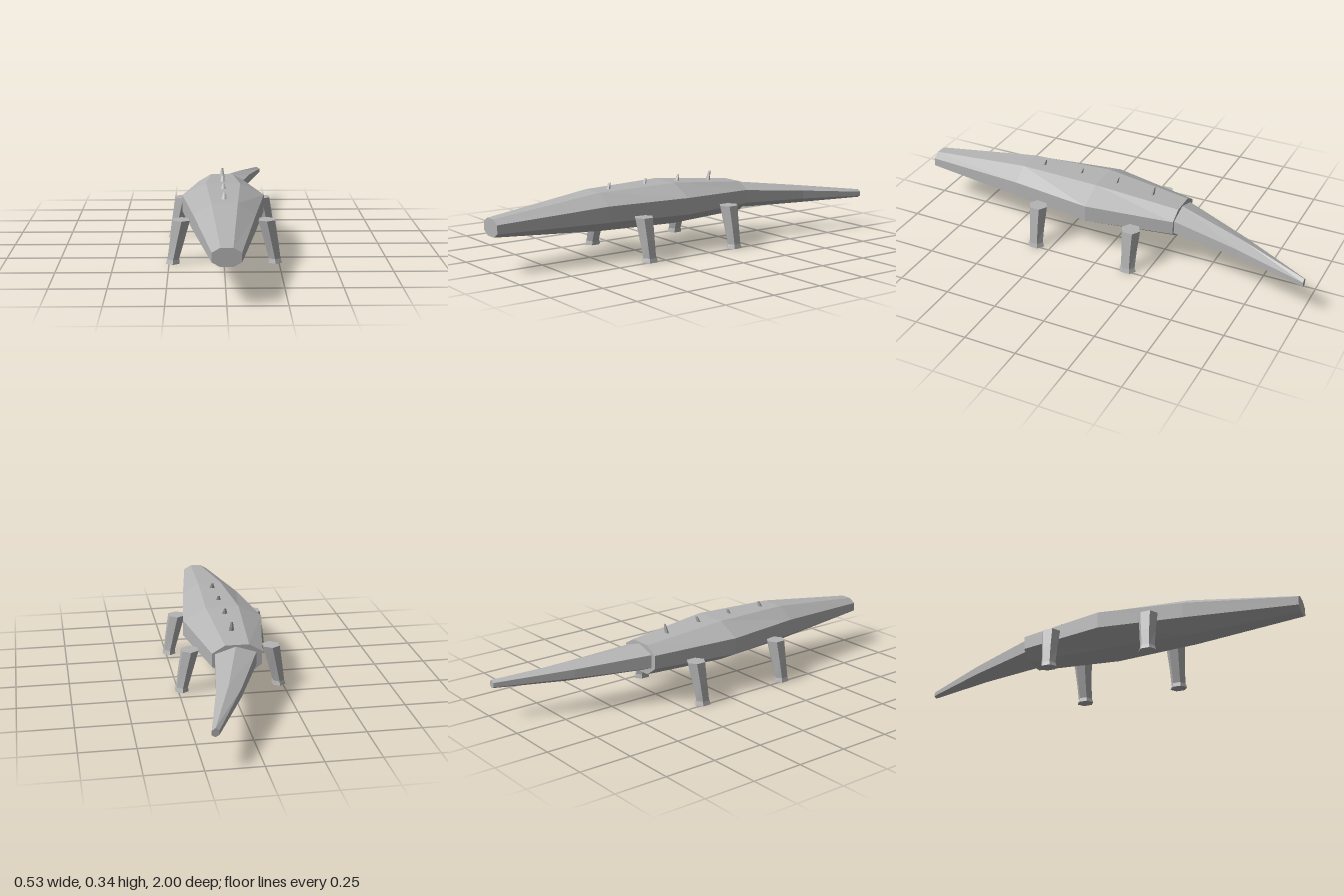
import * as THREE from 'three';

// Closed skin through rings of equal point count, each counter-clockwise
// when looking back along the direction of travel.
function loft(rings) {
  const pos = [];
  const tri = (a, b, c) => pos.push(...a, ...b, ...c);
  const n = rings[0].length;
  for (let i = 0; i < rings.length - 1; i++) {
    for (let j = 0; j < n; j++) {
      const k = (j + 1) % n;
      tri(rings[i][j], rings[i][k], rings[i + 1][k]);
      tri(rings[i][j], rings[i + 1][k], rings[i + 1][j]);
    }
  }
  const first = rings[0], last = rings[rings.length - 1];
  for (let j = 1; j < n - 1; j++) {
    tri(first[0], first[j + 1], first[j]);
    tri(last[0], last[j], last[j + 1]);
  }
  const g = new THREE.BufferGeometry();
  g.setAttribute('position', new THREE.Float32BufferAttribute(pos, 3));
  g.computeVertexNormals();
  return g;
}

// Body section: an octagon with flat top, bottom and sides.
const octagon = ([z, w, flat, bottom, low, high, top]) => [
  [w, low, z], [w, high, z], [flat, top, z], [-flat, top, z],
  [-w, high, z], [-w, low, z], [-flat, bottom, z], [flat, bottom, z],
];

// Tail section: a hexagon with a ridge above and below.
const ridged = ([z, x, w, bottom, low, high, top]) => [
  [x + w, low, z], [x + w, high, z], [x, top, z],
  [x - w, high, z], [x - w, low, z], [x, bottom, z],
];

// Horizontal hexagon with points towards the front and back.
const hexagon = ([x, y, z, rx, rz]) => Array.from({ length: 6 }, (_, i) => {
  const a = Math.PI / 6 + (i * Math.PI) / 3;
  return [x + (rx * Math.cos(a)) / Math.cos(Math.PI / 6), y, z - rz * Math.sin(a)];
});

export function createModel() {
  const model = new THREE.Group();
  const grey = new THREE.MeshStandardMaterial({ color: 0xb4b4b4 });
  grey.name = 'grey';
  grey.flatShading = true;
  const add = (name, rings) => {
    const mesh = new THREE.Mesh(loft(rings), grey);
    mesh.name = name;
    model.add(mesh);
  };

  // Body and snout in one tapering skin
  add('body', [
    [-0.335, 0.115, 0.055, 0.135, 0.178, 0.242, 0.277],
    [0.08, 0.192, 0.08, 0.123, 0.181, 0.259, 0.315],
    [0.48, 0.138, 0.058, 0.131, 0.182, 0.256, 0.307],
    [1, 0.061, 0.026, 0.162, 0.182, 0.222, 0.242],
  ].map(octagon));

  // Tail, swung to its left
  add('tail', [
    [-1, 0.205, 0.016, 0.148, 0.157, 0.177, 0.188],
    [-0.67, 0.095, 0.055, 0.139, 0.167, 0.208, 0.229],
    [-0.33, 0.005, 0.096, 0.137, 0.176, 0.239, 0.27],
  ].map(ridged));

  // Legs splay outwards and end in slightly flared feet
  for (const [place, z] of [['front', 0.33], ['back', -0.158]]) {
    for (const [side, s, shift] of [['Left', 1, -0.004], ['Right', -1, 0.008]]) {
      add(place + side + 'Leg', [
        [s * 0.233, 0, z + shift, 0.03, 0.042],
        [s * 0.231, 0.02, z + shift, 0.026, 0.035],
        [s * 0.214, 0.1, z + shift / 2, 0.032, 0.039],
        [s * 0.192, 0.2, z, 0.038, 0.047],
      ].map(hexagon));
    }
  }

  // Back spikes leaning rearwards
  for (const [z, base] of [[0.4, 0.3], [0.2, 0.3], [0.01, 0.3], [-0.178, 0.278]]) {
    add('backSpike', [
      [0, base, z, 0.015, 0.01],
      [0, 0.336, z - 0.014, 0.005, 0.003],
    ].map(hexagon));
  }
  return model;
}
